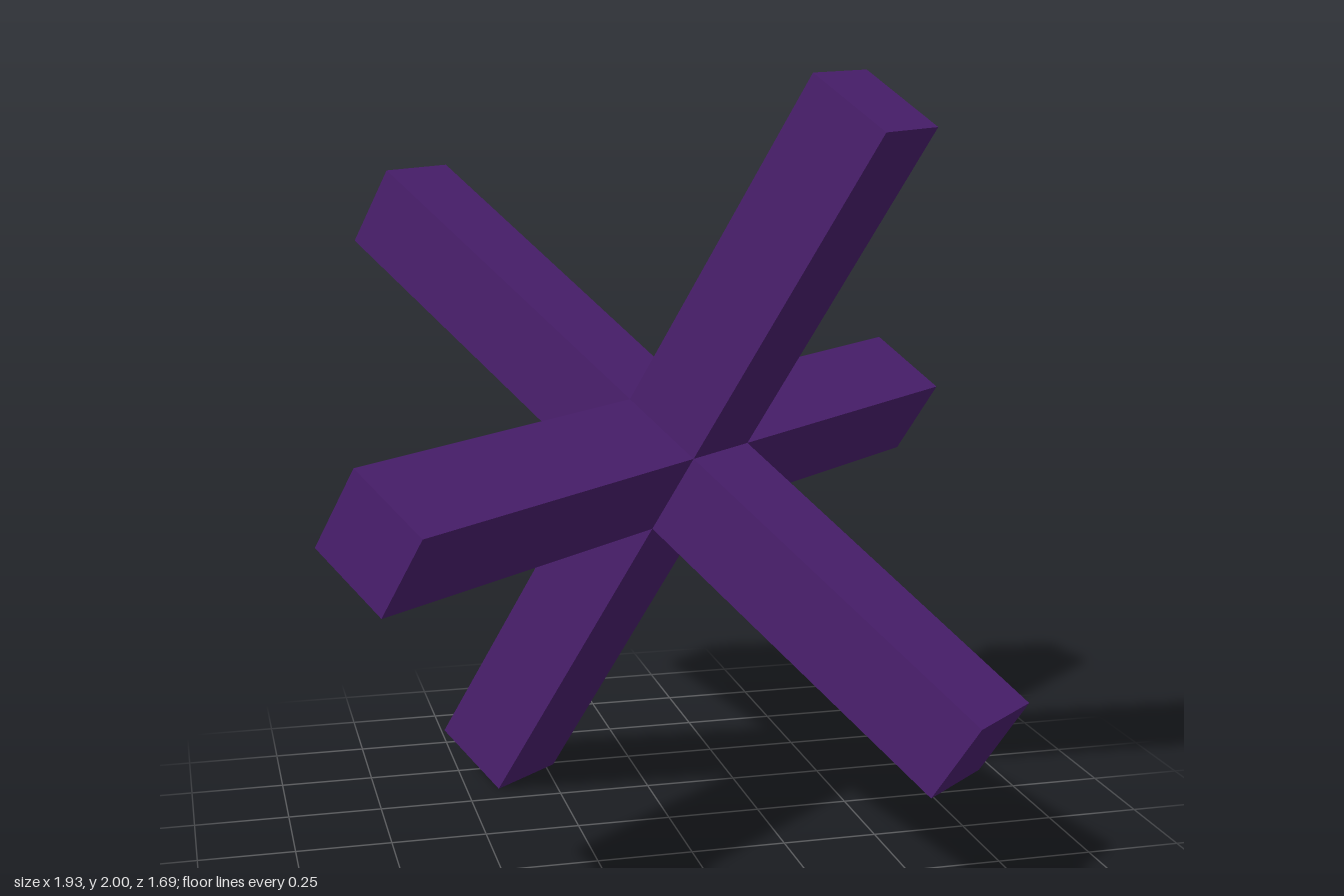
import * as THREE from 'three';

const LENGTH = 2.234; // full length of each bar
const SIDE = 0.24;    // square cross-section

export function createModel() {
  const model = new THREE.Group();
  model.name = 'crossedBars';
  const material = new THREE.MeshStandardMaterial({ color: 0x4b1f6f });

  // Three mutually perpendicular bar directions
  const up = new THREE.Vector3(0.385, 0.935, 0.48).normalize();
  const side = up.clone().cross(new THREE.Vector3(0.6, -0.61, 0.715)).normalize();
  const front = side.clone().cross(up);

  // Tilted jack: one square bar along each axis
  const jack = new THREE.Group();
  jack.name = 'tiltedJack';
  jack.quaternion.setFromRotationMatrix(new THREE.Matrix4().makeBasis(side, up, front));
  jack.position.y = 1;
  model.add(jack);

  ['sideBar', 'uprightBar', 'frontBar'].forEach((name, axis) => {
    const size = [SIDE, SIDE, SIDE];
    size[axis] = LENGTH;
    const bar = new THREE.Mesh(new THREE.BoxGeometry(...size), material);
    bar.name = name;
    jack.add(bar);
  });

  return model;
}
